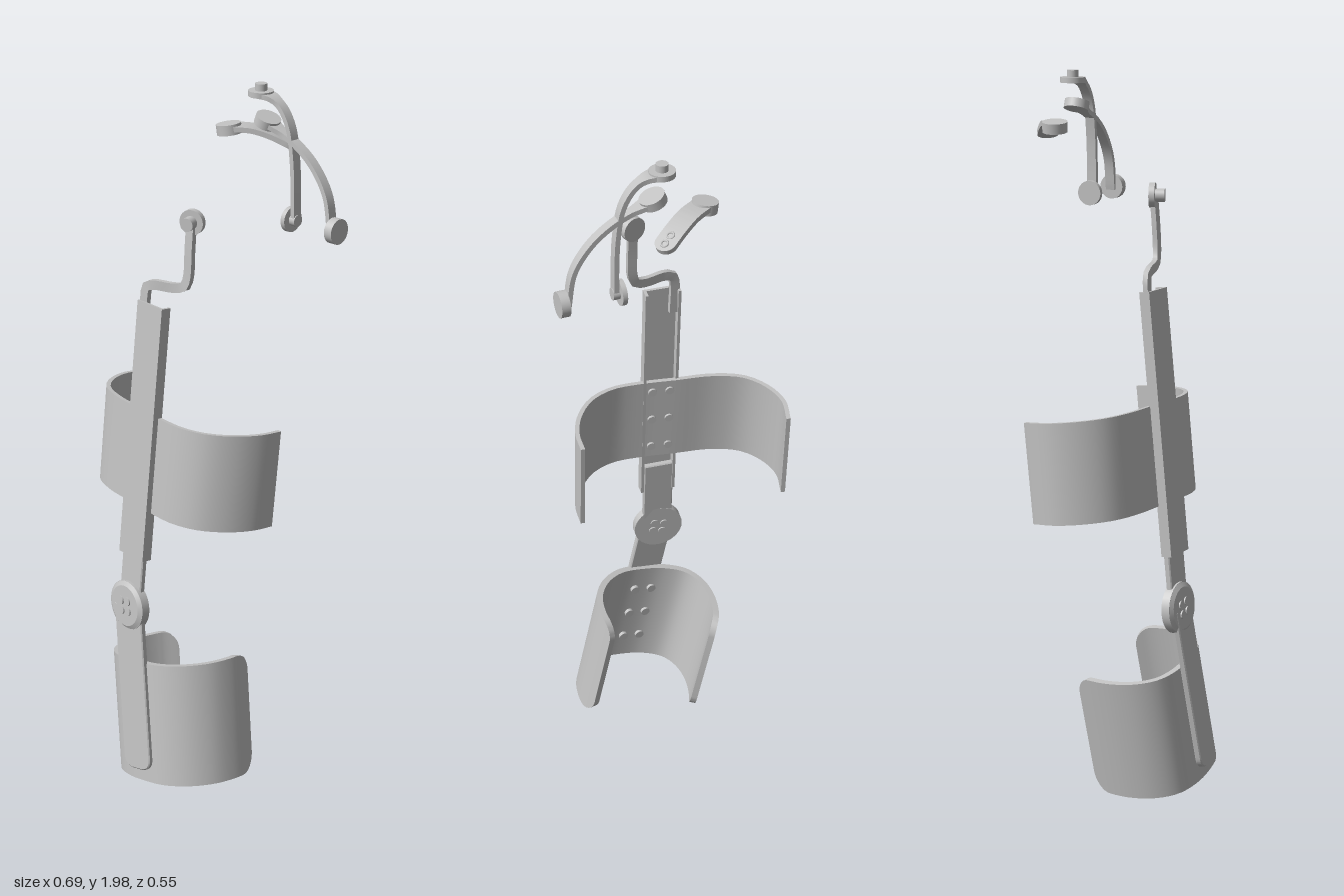
import * as THREE from 'three';
import { toCreasedNormals } from 'three/addons/utils/BufferGeometryUtils.js';

const metal = new THREE.MeshStandardMaterial({ color: 0xc2c2c2 });
metal.name = 'light grey metal';

const v = (x, y, z) => new THREE.Vector3(x, y, z);

function add(parent, name, geometry, pos = v(0, 0, 0)) {
  const mesh = new THREE.Mesh(geometry, metal);
  mesh.name = name;
  mesh.position.copy(pos);
  parent.add(mesh);
  return mesh;
}

// Round plate or pin whose axis points along dir
function disc(parent, name, r, len, pos, dir, rTop = r) {
  const mesh = add(parent, name, new THREE.CylinderGeometry(rTop, r, len, 32), pos);
  mesh.quaternion.setFromUnitVectors(v(0, 1, 0), dir.clone().normalize());
  return mesh;
}

// Rectangular strap swept along a curve; span(d0, d1) gives its extent along the axis
function strap(parent, name, points, axis, thick, span, steps = 36) {
  const curve = new THREE.CatmullRomCurve3(points, false, 'centripetal');
  const length = curve.getLength();
  const pos = [], idx = [];
  for (let i = 0; i <= steps; i++) {
    const u = 0.5 - 0.5 * Math.cos(Math.PI * i / steps);
    const p = curve.getPointAt(u);
    const n = curve.getTangentAt(u).cross(axis).normalize();
    const [lo, hi] = span(u * length, (1 - u) * length);
    for (const [side, along] of [[-1, lo], [1, lo], [1, hi], [-1, hi]]) {
      const c = p.clone().addScaledVector(n, side * thick / 2).addScaledVector(axis, along);
      pos.push(c.x, c.y, c.z);
    }
    if (i === steps) break;
    for (let k = 0; k < 4; k++) {
      const a = i * 4 + k, b = i * 4 + (k + 1) % 4;
      idx.push(a, a + 4, b + 4, a, b + 4, b);
    }
  }
  const e = steps * 4;
  idx.push(0, 1, 2, 0, 2, 3, e, e + 2, e + 1, e, e + 3, e + 2);
  const g = new THREE.BufferGeometry();
  g.setAttribute('position', new THREE.Float32BufferAttribute(pos, 3));
  g.setIndex(idx);
  return add(parent, name, toCreasedNormals(g, 0.6));
}

const even = (w) => () => [-w / 2, w / 2];

// Inset of a rounded corner of radius r at distance d from the end
function corner(d, r) {
  const k = Math.max(0, 1 - d / r);
  return r * (1 - Math.sqrt(1 - k * k));
}

// Flat bar with rounded lower corners, hanging from y1 to y0
function roundedBar(w, y0, y1, r, depth) {
  const s = new THREE.Shape();
  s.moveTo(-w / 2, y1);
  s.lineTo(-w / 2, y0 + r);
  s.quadraticCurveTo(-w / 2, y0, -w / 2 + r, y0);
  s.lineTo(w / 2 - r, y0);
  s.quadraticCurveTo(w / 2, y0, w / 2, y0 + r);
  s.lineTo(w / 2, y1);
  return new THREE.ExtrudeGeometry(s, {
    depth, bevelEnabled: true, bevelSize: 0.003, bevelThickness: 0.003, bevelSegments: 1,
  });
}

export function createModel() {
  const model = new THREE.Group();
  model.name = 'limbBrace';
  const X = v(1, 0, 0), Y = v(0, 1, 0), Z = v(0, 0, 1);
  const knee = v(-0.07, 0.57, 0.205);

  // Upper half: channel, link and wide cuff
  const upper = new THREE.Group();
  upper.name = 'upperBrace';
  upper.position.copy(knee);
  upper.rotation.set(-0.1, 0, -0.014);
  model.add(upper);

  const rail = new THREE.Group();
  rail.name = 'upperRail';
  rail.rotation.y = -0.09;
  upper.add(rail);
  const c = new THREE.Shape();
  [[-0.05, -0.012], [-0.05, 0.018], [0.05, 0.018], [0.05, -0.012], [0.042, -0.012],
    [0.042, 0.01], [-0.042, 0.01], [-0.042, -0.012]]
    .forEach(([x, z], i) => (i ? c.lineTo(x, -z) : c.moveTo(x, -z)));
  const channel = new THREE.ExtrudeGeometry(c, { depth: 0.72, bevelEnabled: false });
  channel.rotateX(-Math.PI / 2);
  add(rail, 'railChannel', channel, v(0.006, 0.15, 0));
  add(rail, 'jointLink', roundedBar(0.08, 0, 0.24, 0.03, 0.011), v(0.003, 0, -0.005));

  const upperCurve = [[-0.325, -0.115], [-0.342, -0.04], [-0.325, 0.03], [-0.28, 0.09],
    [-0.2, 0.127], [-0.1, 0.145], [0, 0.163], [0.08, 0.168], [0.15, 0.145],
    [0.205, 0.09], [0.235, 0.025], [0.243, -0.04]].map(([x, z]) => v(x + 0.064, 0, z - 0.162));
  strap(upper, 'upperCuff', upperCurve, Y, 0.012, () => [0.29, 0.563], 48);
  for (const y of [0.33, 0.43, 0.53]) {
    for (const s of [-1, 1]) {
      disc(upper, 'upperRivet', 0.012, 0.01, v(0.008 + s * 0.024, y, -0.016 + s * 0.004), v(-0.15, 0, 1));
    }
  }

  // Cranked rod above the rail, ending in a round pad
  const rodPath = [v(-0.085, 1.36, 0.124), v(-0.086, 1.45, 0.119), v(-0.08, 1.479, 0.117),
    v(-0.055, 1.488, 0.114), v(0.005, 1.49, 0.1), v(0.036, 1.5, 0.094),
    v(0.046, 1.53, 0.091), v(0.047, 1.6, 0.087), v(0.047, 1.67, 0.081)];
  strap(model, 'crankedRod', rodPath, Z, 0.026, even(0.014));
  const padDir = v(0.29, 0, 0.95);
  disc(model, 'rodPad', 0.034, 0.016, v(0.047, 1.675, 0.077), padDir);
  disc(model, 'rodPadPin', 0.018, 0.028, v(0.052, 1.675, 0.096), padDir);

  // Lower half: hinge, bar and curved shell
  const lower = new THREE.Group();
  lower.name = 'lowerBrace';
  lower.position.copy(knee);
  lower.rotation.set(-0.1, 0, 0.17);
  model.add(lower);

  const hinge = new THREE.Group();
  hinge.name = 'hinge';
  hinge.rotation.y = -0.12;
  lower.add(hinge);
  disc(hinge, 'hingeDisc', 0.071, 0.024, v(0, 0, 0.002), Z);
  disc(hinge, 'hingeCap', 0.07, 0.007, v(0, 0, 0.0175), Z, 0.058);
  for (let i = 0; i < 4; i++) {
    const a = Math.PI / 4 + i * Math.PI / 2;
    for (const z of [0.022, -0.011]) {
      disc(hinge, 'hingeScrew', 0.012, 0.006, v(0.02 * Math.cos(a), 0.02 * Math.sin(a), z), Z);
    }
  }
  add(lower, 'lowerBar', roundedBar(0.095, -0.475, 0, 0.035, 0.012), v(0.003, 0, 0.002));

  const lowerCurve = [[-0.105, -0.28], [-0.13, -0.23], [-0.146, -0.16], [-0.14, -0.09],
    [-0.11, -0.04], [-0.05, -0.012], [0.02, -0.004], [0.09, -0.01], [0.15, -0.045],
    [0.19, -0.1], [0.205, -0.16], [0.205, -0.2], [0.195, -0.24]].map(([x, z]) => v(x, -0.338, z));
  strap(lower, 'lowerCuff', lowerCurve, Y, 0.018, (d0, d1) => {
    const h = 0.175 - corner(Math.min(d0, d1), 0.055);
    return [-h, h];
  }, 64);
  for (const y of [-0.24, -0.335, -0.43]) {
    for (const x of [-0.022, 0.03]) {
      disc(lower, 'lowerRivet', 0.013, 0.01, v(x, y, -0.018), Z);
    }
  }

  // Three separate curved arms with round pads
  const armZ = -0.165;
  const at = ([x, y]) => v(x, y, armZ);
  const eyeSpan = (d0) => {
    const w = 0.0135 + 0.014 * Math.max(0, 1 - d0 / 0.05);
    return [-w, w];
  };
  const hookA = new THREE.Group();
  hookA.name = 'innerHook';
  model.add(hookA);
  strap(hookA, 'innerHookArm', [[0.075, 1.972], [0.105, 1.968], [0.138, 1.948], [0.168, 1.9],
    [0.183, 1.82], [0.188, 1.74], [0.189, 1.65]].map(at), Z, 0.013, eyeSpan);
  disc(hookA, 'innerHookEye', 0.034, 0.015, at([0.062, 1.974]), Y);
  disc(hookA, 'innerHookPin', 0.016, 0.036, at([0.062, 1.982]), Y);
  disc(hookA, 'innerHookPad', 0.034, 0.013, at([0.173, 1.655]), X);
  disc(hookA, 'innerHookPadPin', 0.016, 0.028, at([0.184, 1.655]), X);

  const hookB = new THREE.Group();
  hookB.name = 'outerHook';
  model.add(hookB);
  const tilt = v(0.36, 0.93, 0);
  strap(hookB, 'outerHookArm', [[0.095, 1.9], [0.13, 1.886], [0.19, 1.86], [0.25, 1.815],
    [0.298, 1.745], [0.316, 1.65]].map(at), Z, 0.013, eyeSpan);
  disc(hookB, 'outerHookEye', 0.034, 0.024, at([0.086, 1.904]), tilt);
  disc(hookB, 'outerHookPad', 0.034, 0.024, at([0.329, 1.657]), X);

  const hookC = new THREE.Group();
  hookC.name = 'shortArm';
  model.add(hookC);
  strap(hookC, 'shortArmBlade', [v(-0.045, 1.862, -0.17), v(0.005, 1.86, -0.201),
    v(0.05, 1.845, -0.23), v(0.106, 1.815, -0.265)], v(0.53, 0, 0.85), 0.014, (d0, d1) => {
    const h = 0.029 - corner(d1, 0.028);
    return [-h, h];
  });
  disc(hookC, 'shortArmPad', 0.034, 0.028, v(-0.052, 1.857, armZ), v(-0.15, 1, 0.05));
  for (const p of [v(0.071, 1.842, -0.243), v(0.092, 1.831, -0.256)]) {
    const ring = add(hookC, 'shortArmRing', new THREE.TorusGeometry(0.009, 0.003, 8, 20), p);
    ring.quaternion.setFromUnitVectors(Z, v(0.4, 0.88, -0.25).normalize());
  }
  return model;
}
